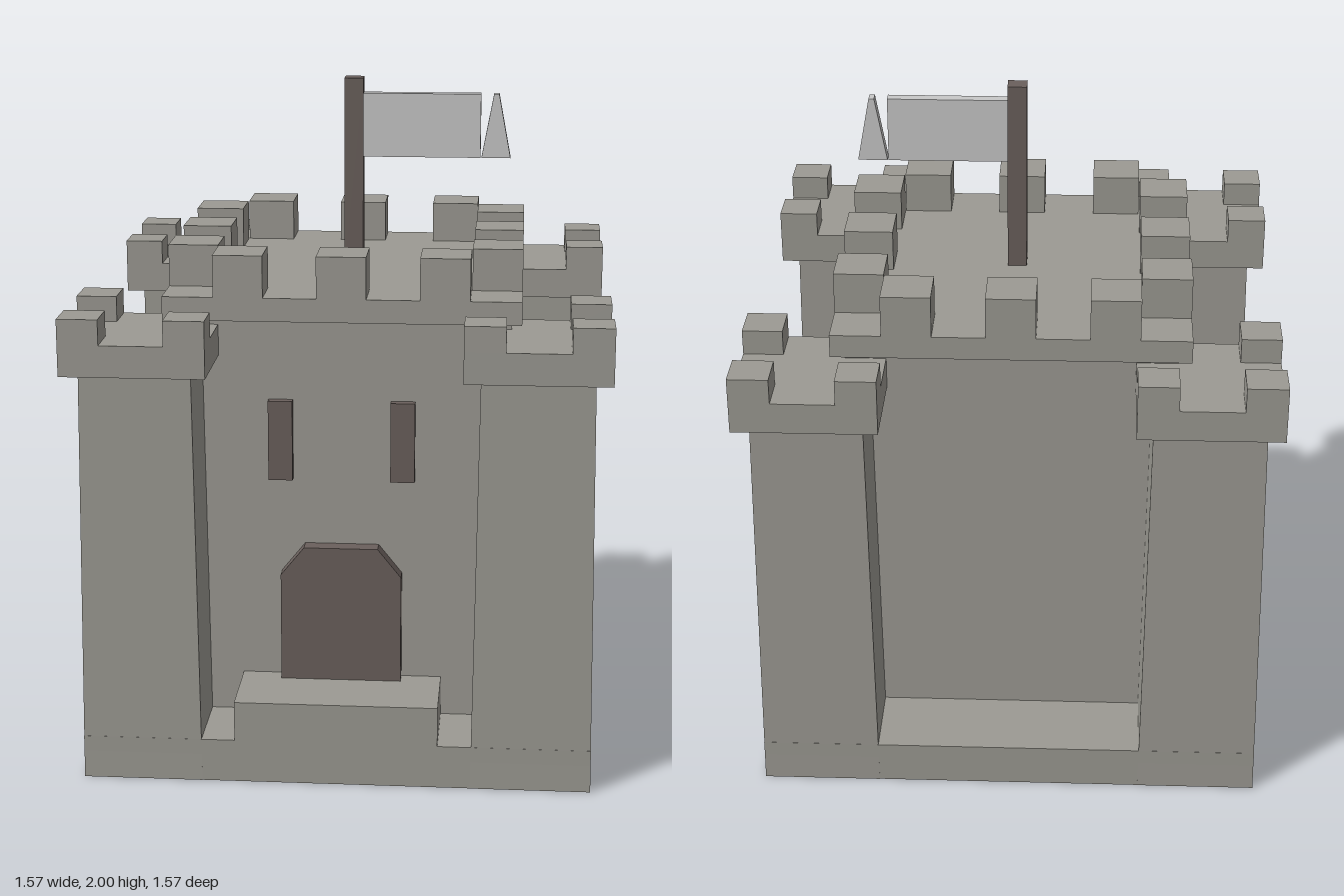
import * as THREE from 'three';

const mat = (name, color) => {
  const m = new THREE.MeshStandardMaterial({ color });
  m.name = name;
  return m;
};

export function createModel() {
  const stone = mat('stone', 0x9c9a93);
  const wood = mat('darkWood', 0x6a605c);
  const cloth = mat('paleCloth', 0xc8c8c8);
  const castle = new THREE.Group();
  castle.name = 'castle';

  // Box given by its min and max corners
  const box = (name, material, [x0, y0, z0], [x1, y1, z1], parent = castle) => {
    const mesh = new THREE.Mesh(new THREE.BoxGeometry(x1 - x0, y1 - y0, z1 - z0), material);
    mesh.position.set((x0 + x1) / 2, (y0 + y1) / 2, (z0 + z1) / 2);
    mesh.name = name;
    parent.add(mesh);
    return mesh;
  };

  // Square block that narrows from half-width a to half-width b
  const taperedBlock = (name, a, b, y0, y1, x, z, parent) => {
    const geo = new THREE.BoxGeometry(2 * a, y1 - y0, 2 * a);
    const p = geo.attributes.position;
    for (let i = 0; i < p.count; i++) {
      if (p.getY(i) > 0) p.setXYZ(i, p.getX(i) * b / a, p.getY(i), p.getZ(i) * b / a);
    }
    geo.computeVertexNormals();
    const mesh = new THREE.Mesh(geo, stone);
    mesh.position.set(x, (y0 + y1) / 2, z);
    mesh.name = name;
    parent.add(mesh);
  };

  // Flat outline extruded along z
  const plate = (name, material, points, z0, z1, parent = castle) => {
    const shape = new THREE.Shape(points.map(([x, y]) => new THREE.Vector2(x, y)));
    const geo = new THREE.ExtrudeGeometry(shape, { depth: z1 - z0, bevelEnabled: false });
    const mesh = new THREE.Mesh(geo, material);
    mesh.position.z = z0;
    mesh.name = name;
    parent.add(mesh);
  };

  // Base and central keep
  box('base', stone, [-0.75, 0, -0.75], [0.75, 0.13, 0.75]);
  taperedBlock('keep', 0.505, 0.495, 0.13, 1.35, 0, 0, castle);
  box('keepRoof', stone, [-0.525, 1.35, -0.525], [0.525, 1.42, 0.525]);

  // Three battlements along each side of the roof
  for (let side = 0; side < 4; side++) {
    const row = new THREE.Group();
    row.name = 'keepBattlements';
    row.rotation.y = side * Math.PI / 2;
    for (const x of [-0.302, 0, 0.302]) {
      box('keepBattlement', stone, [x - 0.073, 1.42, 0.377], [x + 0.073, 1.545, 0.525], row);
    }
    castle.add(row);
  }

  // Corner towers with overhanging caps and four battlements
  for (const sx of [-1, 1]) {
    for (const sz of [-1, 1]) {
      const tower = new THREE.Group();
      tower.name = 'cornerTower';
      tower.position.set(sx * 0.574, 0, sz * 0.574);
      taperedBlock('towerShaft', 0.177, 0.162, 0, 1.24, 0, 0, tower);
      box('towerCap', stone, [-0.21, 1.24, -0.21], [0.21, 1.333, 0.21], tower);
      for (const x of [-0.151, 0.151]) {
        for (const z of [-0.151, 0.151]) {
          box('towerBattlement', stone, [x - 0.059, 1.333, z - 0.059], [x + 0.059, 1.408, z + 0.059], tower);
        }
      }
      castle.add(tower);
    }
  }

  // Entrance step, door and windows
  box('entranceStep', stone, [-0.3, 0.13, 0.48], [0.3, 0.25, 0.75]);
  plate('door', wood, [[-0.18, 0.25], [0.18, 0.25], [0.18, 0.58], [0.11, 0.667], [-0.11, 0.667], [-0.18, 0.58]], 0.48, 0.55);
  for (const s of [-1, 1]) {
    box('window', wood, [s * 0.181 - 0.036, 0.868, 0.48], [s * 0.181 + 0.036, 1.11, 0.523]);
  }

  // Flagpole and notched flag
  box('flagpole', wood, [-0.029, 1.42, -0.029], [0.029, 2, 0.029]);
  box('flag', cloth, [0.029, 1.758, -0.018], [0.388, 1.953, 0.018]);
  plate('flagTail', cloth, [[0.391, 1.758], [0.48, 1.758], [0.443, 1.953], [0.427, 1.953]], -0.018, 0.018);

  return castle;
}
